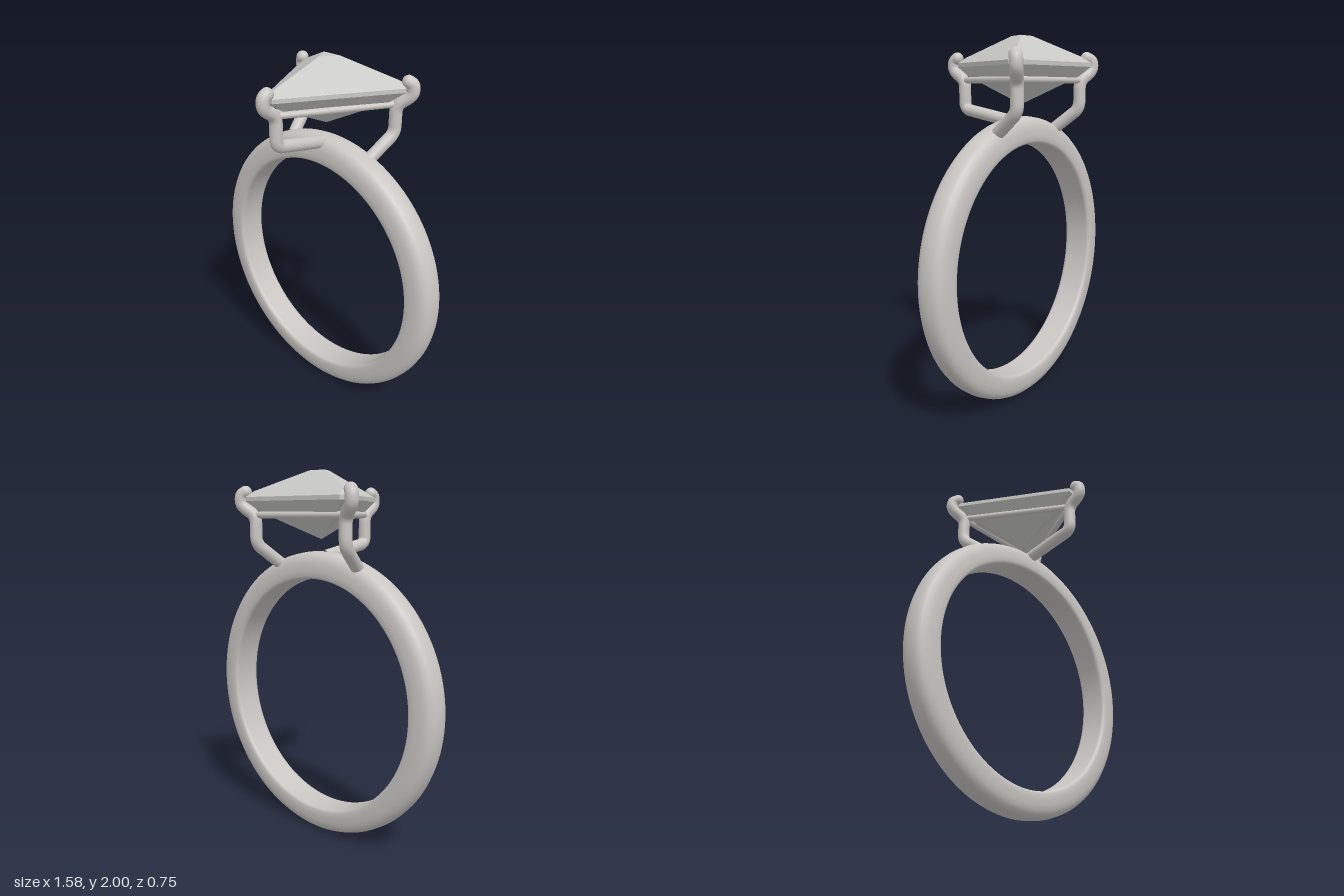
import * as THREE from 'three';
import { ConvexGeometry } from 'three/addons/geometries/ConvexGeometry.js';

const V = (x, y, z) => new THREE.Vector3(x, y, z);

// Tube along a polyline whose corners are rounded off
function bentWire(points, radius, bend) {
  const path = new THREE.CurvePath();
  let from = points[0];
  for (let i = 1; i < points.length - 1; i++) {
    const p = points[i];
    const cut = (q) => p.clone().lerp(q, Math.min(0.45, bend / p.distanceTo(q)));
    const a = cut(points[i - 1]), b = cut(points[i + 1]);
    path.add(new THREE.LineCurve3(from, a));
    path.add(new THREE.QuadraticBezierCurve3(a, p, b));
    from = b;
  }
  path.add(new THREE.LineCurve3(from, points[points.length - 1]));
  return new THREE.TubeGeometry(path, 72, radius, 16, false);
}

export function createModel() {
  const model = new THREE.Group();
  const metal = new THREE.MeshStandardMaterial({ color: 0xc9c6c2 });
  metal.name = 'metal';
  const stone = new THREE.MeshStandardMaterial({ color: 0xc8c8c5 });
  stone.name = 'stone';
  const add = (parent, name, geometry, material) => {
    const mesh = new THREE.Mesh(geometry, material);
    mesh.name = name;
    parent.add(mesh);
    return mesh;
  };

  // Band: comfort profile with a domed outside and flat inside
  const half = [[0.646, 0.07], [0.65, 0.08], [0.662, 0.087], [0.69, 0.087], [0.72, 0.084],
    [0.745, 0.078], [0.765, 0.067], [0.778, 0.052], [0.786, 0.033], [0.79, 0]];
  const profile = [
    ...half.map(([r, w]) => new THREE.Vector2(r, -w)),
    ...half.slice(0, -1).reverse().map(([r, w]) => new THREE.Vector2(r, w)),
    new THREE.Vector2(0.645, 0.06), new THREE.Vector2(0.645, -0.06),
    new THREE.Vector2(half[0][0], -half[0][1]),
  ];
  const band = add(model, 'band', new THREE.LatheGeometry(profile, 128), metal);
  band.rotation.x = Math.PI / 2;
  band.position.set(0, 0.79, -0.108);

  // Stone: triangular cut with clipped corners
  const cz = -0.112;
  const corners = [[0, 0.464], [0.402, -0.233], [-0.402, -0.233]];
  const at = ([x, z], s, y) => V(x * s, y, cz + z * s);
  const facets = [V(0, 1.643, cz)];
  corners.forEach((c, i) => {
    const table = at(c, 0.137, 2);
    facets.push(table, table.clone().lerp(at(c, 1, 1.864), 0.77));
    for (const k of [1, 2]) {
      const n = corners[(i + k) % 3];
      const clipped = [c[0] + (n[0] - c[0]) * 0.077, c[1] + (n[1] - c[1]) * 0.077];
      facets.push(at(clipped, 1, 1.864), at(clipped, 1, 1.842), at(clipped, 0.8, 1.785));
    }
  });
  add(model, 'stone', new ConvexGeometry(facets), stone);

  // Prongs: hooked over the stone, bent in to meet the band
  const setting = new THREE.Group();
  setting.name = 'setting';
  model.add(setting);
  const prongs = {
    frontProng: [V(0.013, 1.89, 0.315), V(0.013, 1.875, 0.342), V(0.013, 1.82, 0.342),
      V(0.013, 1.77, 0.262), V(0.013, 1.61, 0.262), V(0.013, 1.55, -0.07)],
    leftProng: [V(0.36, 1.89, -0.325), V(0.381, 1.875, -0.342), V(0.381, 1.82, -0.342),
      V(0.31, 1.765, -0.3), V(0.31, 1.615, -0.3), V(0.27, 1.5, -0.15)],
    rightProng: [V(-0.37, 1.89, -0.3), V(-0.396, 1.875, -0.322), V(-0.396, 1.82, -0.322),
      V(-0.325, 1.765, -0.285), V(-0.325, 1.615, -0.285), V(-0.285, 1.5, -0.145)],
  };
  for (const [name, points] of Object.entries(prongs)) {
    const prong = new THREE.Group();
    prong.name = name;
    setting.add(prong);
    add(prong, 'wire', bentWire(points, 0.034, 0.04), metal);
    add(prong, 'tip', new THREE.SphereGeometry(0.034, 16, 12), metal).position.copy(points[0]);
  }

  // Gallery rails joining the prongs below the stone
  const posts = Object.values(prongs).map((p) => p[3].clone().setY(1.77));
  posts.forEach((p, i) => {
    const rail = new THREE.LineCurve3(p, posts[(i + 1) % 3]);
    add(setting, 'galleryRail', new THREE.TubeGeometry(rail, 1, 0.018, 12), metal);
  });
  return model;
}
